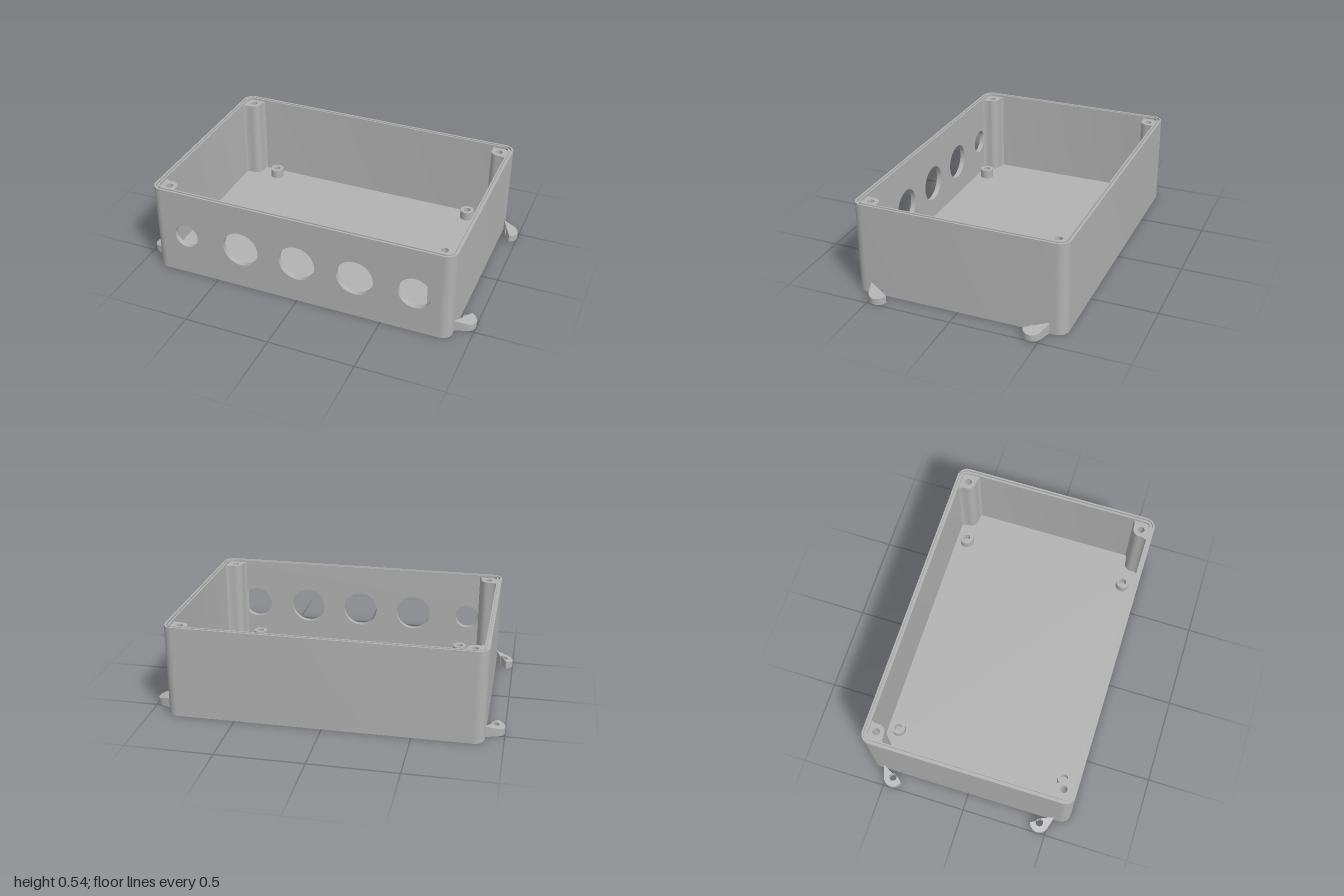
import * as THREE from 'three';
import { toCreasedNormals } from 'three/addons/utils/BufferGeometryUtils.js';

const W = 0.897, D = 0.615, H = 0.54;   // half width, half depth, height
const R = 0.06, WALL = 0.03, FLOOR = 0.03, LEDGE = 0.527;
const PI = Math.PI;

const grey = new THREE.MeshStandardMaterial({ color: 0xb2b2b2 });
grey.name = 'grey plastic';

function circle(x, y, r) {
  return new THREE.Path().absarc(x, y, r, 0, PI * 2, false);
}

// Rounded rectangle, pulled in from the outer wall
function outline(inset, Type = THREE.Shape) {
  const s = new Type(), x = W - R, y = D - R, r = R - inset;
  s.absarc(x, -y, r, -PI / 2, 0, false);
  s.absarc(x, y, r, 0, PI / 2, false);
  s.absarc(-x, y, r, PI / 2, PI, false);
  s.absarc(-x, -y, r, PI, PI * 1.5, false);
  s.closePath();
  return s;
}

function extrude(shape, depth) {
  return new THREE.ExtrudeGeometry(shape, { depth, bevelEnabled: false, curveSegments: 16 });
}

// Plan shape raised from y0 to y1
function raise(shape, y0, y1) {
  return extrude(shape, y1 - y0).rotateX(-PI / 2).translate(0, y0, 0);
}

// Mirrored copy of a plan shape with one round hole
function mirrored(shape, sx, sy, hx, hy, hr) {
  const m = new THREE.Shape(shape.getPoints(16).map(p => new THREE.Vector2(p.x * sx, p.y * sy)));
  m.holes.push(circle(hx * sx, hy * sy, hr));
  return m;
}

export function createModel() {
  const model = new THREE.Group();
  model.name = 'enclosure';
  const add = (name, geometry) => {
    const mesh = new THREE.Mesh(toCreasedNormals(geometry, 0.5), grey);
    mesh.name = name;
    model.add(mesh);
  };

  add('floor', raise(outline(0), 0, FLOOR));

  // Back and side walls with all four rounded corners, open at the front
  const x = W - R, y = D - R, ri = R - WALL;
  const walls = new THREE.Shape();
  walls.absarc(x, -y, R, -PI / 2, 0, false);
  walls.absarc(x, y, R, 0, PI / 2, false);
  walls.absarc(-x, y, R, PI / 2, PI, false);
  walls.absarc(-x, -y, R, PI, PI * 1.5, false);
  walls.absarc(-x, -y, ri, PI * 1.5, PI, true);
  walls.absarc(-x, y, ri, PI, PI / 2, true);
  walls.absarc(x, y, ri, PI / 2, 0, true);
  walls.absarc(x, -y, ri, 0, -PI / 2, true);
  walls.closePath();
  add('sideAndBackWalls', raise(walls, FLOOR, LEDGE));

  // Front wall with cable holes
  const front = new THREE.Shape([
    new THREE.Vector2(-x, FLOOR), new THREE.Vector2(x, FLOOR),
    new THREE.Vector2(x, LEDGE), new THREE.Vector2(-x, LEDGE)]);
  const holes = [[-0.69, 0.073], [-0.345, 0.108], [0, 0.108], [0.345, 0.108], [0.69, 0.096]];
  for (const [hx, r] of holes) front.holes.push(circle(hx, 0.257, r));
  add('frontWall', extrude(front, WALL).translate(0, 0, D - WALL));

  // Two lips on the rim with a seal groove between them
  for (const [name, a, b] of [['outerLip', 0, 0.011], ['innerLip', 0.021, WALL]]) {
    const lip = outline(a);
    lip.holes.push(outline(b, THREE.Path));
    add(name, raise(lip, LEDGE, H));
  }

  // Screw post filling a corner, flared into both walls
  const px = 0.817, py = 0.54, pr = 0.045, ix = W - WALL + 0.005, iy = D - WALL + 0.005;
  const post = new THREE.Shape();
  post.moveTo(ix, iy);
  post.lineTo(px - pr - 0.02, iy);
  post.quadraticCurveTo(px - pr, iy - 0.005, px - pr, py);
  post.absarc(px, py, pr, PI, PI * 1.5, false);
  post.quadraticCurveTo(ix - 0.005, py - pr, ix, py - pr - 0.02);
  post.closePath();

  // Mounting ear
  const ez = 0.453, ear = new THREE.Shape();
  ear.moveTo(0.893, ez - 0.073);
  ear.absarc(0.945, ez, 0.055, -1.3, 1.3, false);
  ear.lineTo(0.893, ez + 0.073);
  ear.closePath();

  for (const sx of [-1, 1]) for (const sy of [-1, 1]) {
    const place = (sy < 0 ? 'front' : 'back') + (sx > 0 ? 'Left' : 'Right');
    add(place + 'ScrewPost', raise(mirrored(post, sx, sy, px, py, 0.02), FLOOR, LEDGE));

    const standoff = new THREE.Shape().absarc(sx * 0.657, sy * 0.518, 0.041, 0, PI * 2, false);
    standoff.holes.push(circle(sx * 0.657, sy * 0.518, 0.021));
    add(place + 'Standoff', raise(standoff, FLOOR, 0.085));

    // Ear top slopes down away from the wall
    const earGeometry = raise(mirrored(ear, sx, sy, 0.945, ez, 0.022), 0, 0.065);
    const p = earGeometry.attributes.position;
    for (let i = 0; i < p.count; i++) {
      if (p.getY(i) > 0.03) p.setY(i, 0.065 - 0.27 * (Math.abs(p.getX(i)) - 0.893));
    }
    add(place + 'MountingEar', earGeometry);
  }
  return model;
}
